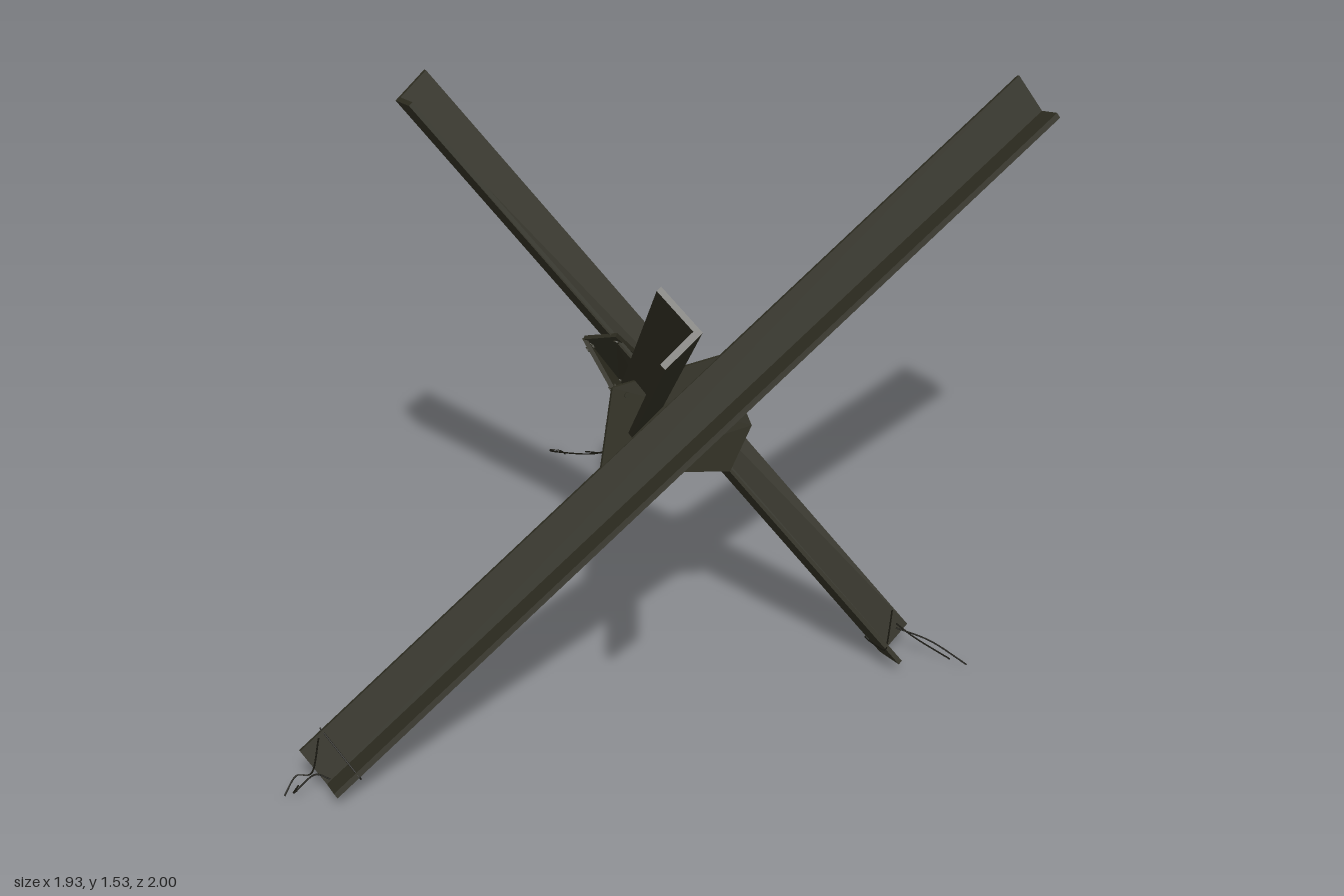
import * as THREE from 'three';
import { ConvexGeometry } from 'three/addons/geometries/ConvexGeometry.js';

const V = (p) => new THREE.Vector3(...p);

// Each beam: foot of the corner edge, feet of both flange edges, and the run to its top end
const BEAMS = [
  { name: 'sideBeam', corner: [-0.86, 0.005, 0.05], a: [-0.91, 0.1, 0.01], b: [-0.88, 0.035, 0.135], run: [1.82, 1.26, 0.11] },
  { name: 'longBeam', corner: [0.45, 0.06, -0.79], a: [0.41, 0.13, -0.87], b: [0.37, 0.005, -0.79], run: [-0.94, 1.41, 1.79] },
  { name: 'shortBeam', corner: [0.505, 0.005, 0.24], a: [0.485, 0.035, 0.345], b: [0.58, 0.06, 0.235], run: [-0.93, 1.415, -0.595] },
];

// Loose wire tails at the beam feet
const TAILS = [
  [
    [[-0.87, 0.13, 0.03], [-0.9, 0.06, 0.05], [-0.93, 0.05, 0.03], [-0.965, 0.015, 0.04]],
    [[-0.87, 0.05, 0.08], [-0.9, 0.06, 0.06], [-0.95, 0.03, 0.06], [-0.93, 0.03, 0.04]],
  ],
  [
    [[0.37, 0.09, -0.8], [0.34, 0.06, -0.86], [0.3, 0.03, -0.96], [0.305, 0.015, -1.0], [0.33, 0.01, -0.99], [0.325, 0.02, -0.95]],
    [[0.4, 0.1, -0.78], [0.37, 0.07, -0.83], [0.35, 0.05, -0.89]],
  ],
  [
    [[0.52, 0.09, 0.28], [0.58, 0.065, 0.34], [0.64, 0.015, 0.405]],
    [[0.55, 0.07, 0.24], [0.58, 0.04, 0.28], [0.625, 0.01, 0.36]],
  ],
];

// Gusset plates around the crossing
const PLATES = [
  [[-0.16, 0.61, 0.06], [-0.11, 0.8, 0.03], [0.15, 0.83, 0.075], [0.2, 0.66, 0.125], [0.14, 0.56, 0.13]],
  [[-0.08, 0.91, 0], [-0.1, 0.86, -0.11], [0.03, 0.68, -0.17], [0.08, 0.73, -0.07]],
  [[-0.1, 0.86, -0.11], [-0.11, 0.8, 0.03], [0.0, 0.62, 0.03], [0.03, 0.68, -0.17]],
];

// L-section beam, sheared onto the given corner, flanges and run
function beamGeometry({ corner, a, b, run }) {
  const q = V(corner), d = V(run);
  let u = V(a).sub(q), v = V(b).sub(q);
  if (u.clone().cross(v).dot(d) < 0) [u, v] = [v, u];
  const t = 0.12;
  const section = new THREE.Shape(
    [[0, 0], [1, 0], [1, t], [t, t], [t, 1], [0, 1]].map(([x, y]) => new THREE.Vector2(x, y)));
  const geo = new THREE.ExtrudeGeometry(section, { depth: 1, bevelEnabled: false });
  geo.applyMatrix4(new THREE.Matrix4().makeBasis(u, v, d).setPosition(q));
  geo.computeVertexNormals();
  return geo;
}

function plateNormal(points) {
  const [a, b, c] = points.map(V);
  return b.sub(a).cross(c.sub(a)).normalize();
}

function plateGeometry(points) {
  const n = plateNormal(points);
  return new ConvexGeometry(points.flatMap((p) =>
    [-0.005, 0.005].map((s) => V(p).addScaledVector(n, s))));
}

function wireGeometry(points, closed = false) {
  const curve = new THREE.CatmullRomCurve3(points, closed, 'catmullrom', closed ? 0.1 : 0.5);
  return new THREE.TubeGeometry(curve, 24, 0.002, 5, closed);
}

export function createModel() {
  const model = new THREE.Group();
  const steel = new THREE.MeshStandardMaterial({ name: 'dark olive steel', color: 0x2e2d21 });
  const wire = new THREE.MeshStandardMaterial({ name: 'dark wire', color: 0x17160f });

  const add = (parent, name, geo, mat) => {
    const mesh = new THREE.Mesh(geo, mat);
    mesh.name = name;
    parent.add(mesh);
    return mesh;
  };

  BEAMS.forEach((beam, i) => {
    const group = new THREE.Group();
    group.name = beam.name;
    add(group, 'angleBeam', beamGeometry(beam), steel);

    // Wire loop tied round the foot of the beam
    const centre = V(beam.corner).add(V(beam.a)).add(V(beam.b)).divideScalar(3);
    const loop = [beam.corner, beam.a, beam.b].map((p) =>
      V(p).sub(centre).multiplyScalar(1.08).add(centre).addScaledVector(V(beam.run), 0.03));
    add(group, 'wireLoop', wireGeometry(loop, true), wire);
    TAILS[i].forEach((tail) => add(group, 'wireTail', wireGeometry(tail.map(V)), wire));
    model.add(group);
  });

  const joint = new THREE.Group();
  joint.name = 'centreJoint';
  PLATES.forEach((points) => {
    add(joint, 'gussetPlate', plateGeometry(points), steel);
    // Rivets just inside each plate corner
    const n = plateNormal(points);
    const centre = points.map(V).reduce((s, p) => s.add(p), new THREE.Vector3()).divideScalar(points.length);
    points.slice(0, 3).forEach((p) => {
      const rivet = add(joint, 'rivet', new THREE.CylinderGeometry(0.007, 0.007, 0.018, 8), steel);
      rivet.position.copy(V(p).lerp(centre, 0.2));
      rivet.quaternion.setFromUnitVectors(new THREE.Vector3(0, 1, 0), n);
    });
  });
  model.add(joint);
  return model;
}
